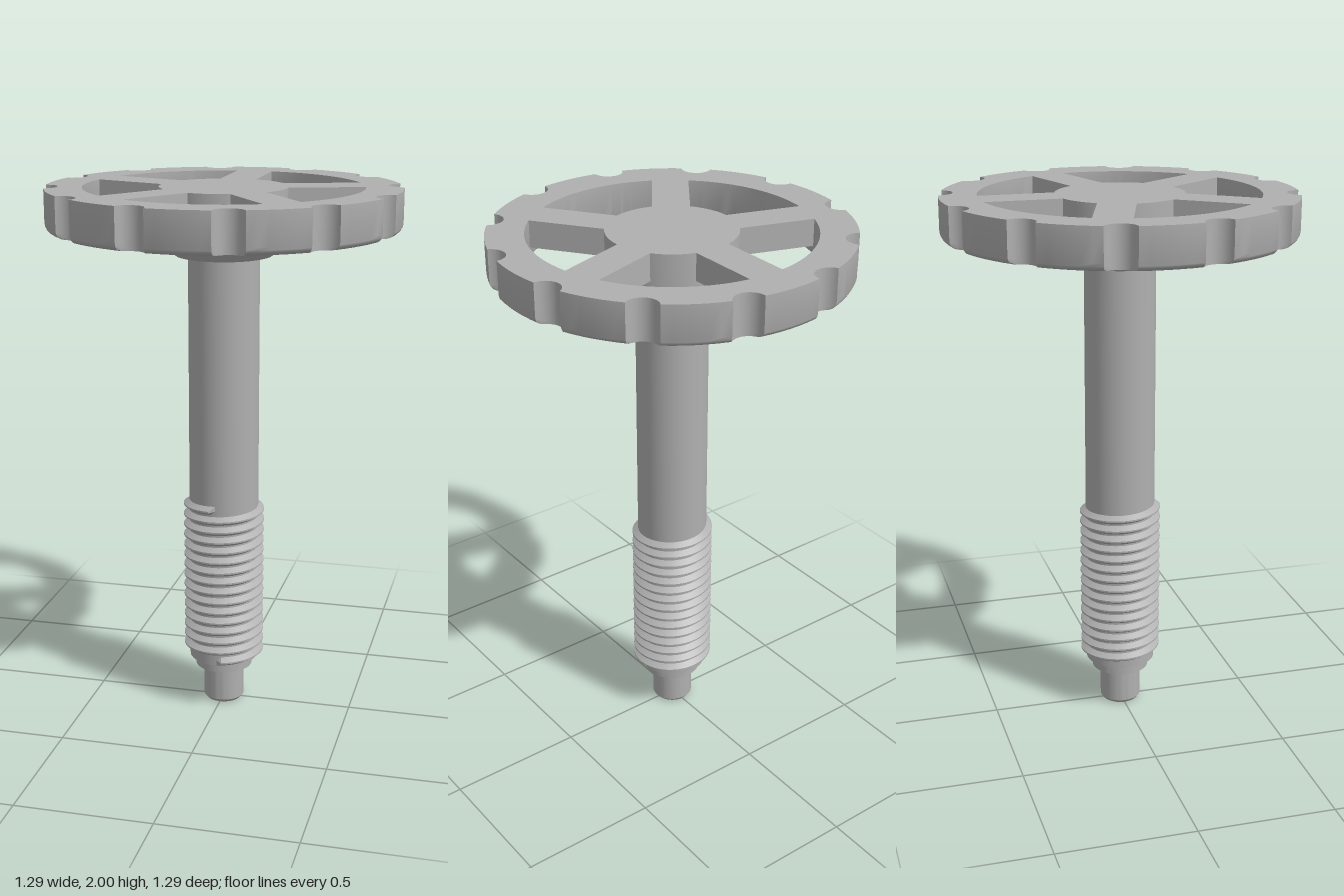
import * as THREE from 'three';
import { toCreasedNormals } from 'three/addons/utils/BufferGeometryUtils.js';

// Surface through rows of points; each row is one cross-section
function skin(rows, closeRows, closeProfile) {
  const n = rows[0].length, m = rows.length;
  const index = [];
  for (let i = 0; i < (closeRows ? m : m - 1); i++) {
    for (let j = 0; j < (closeProfile ? n : n - 1); j++) {
      const i2 = (i + 1) % m, j2 = (j + 1) % n;
      const a = i * n + j, b = i * n + j2, c = i2 * n + j2, d = i2 * n + j;
      index.push(a, b, d, b, c, d);
    }
  }
  const geo = new THREE.BufferGeometry();
  geo.setAttribute('position', new THREE.Float32BufferAttribute(rows.flat(2), 3));
  geo.setIndex(index);
  return toCreasedNormals(geo, 0.6);
}

const polar = (r, y, t) => [r * Math.sin(t), y, r * Math.cos(t)];

// Grip rim: rounded lower edges, twelve finger notches
function rimGeometry() {
  const inner = 0.507, outer = 0.643, top = 2, bottom = 1.85, f = 0.03, steps = 5;
  const profile = [[inner, top], [outer, top]];
  for (let k = 0; k <= steps; k++) {
    const a = (k / steps) * Math.PI / 2;
    profile.push([outer - f + f * Math.cos(a), bottom + f - f * Math.sin(a)]);
  }
  for (let k = 0; k <= steps; k++) {
    const a = (k / steps) * Math.PI / 2;
    profile.push([inner + f - f * Math.sin(a), bottom + f - f * Math.cos(a)]);
  }
  const centre = 0.65, radius = 0.056, half = Math.asin(radius / centre);
  const rows = [];
  for (let s = 0; s < 12; s++) {
    const mid = (s + 0.5) * Math.PI / 6;
    // across the notch, denser near its sides
    for (let k = 0; k <= 14; k++) {
      const d = -half * Math.cos((k / 14) * Math.PI);
      const reach = centre * Math.cos(d) -
        Math.sqrt(Math.max(0, radius ** 2 - (centre * Math.sin(d)) ** 2));
      rows.push(profile.map(([r, y]) => polar(Math.min(r, reach), y, mid + d)));
    }
    // plain stretch to the next notch
    const gap = Math.PI / 6 - 2 * half;
    for (let k = 1; k < 6; k++) {
      rows.push(profile.map(([r, y]) => polar(r, y, mid + half + gap * k / 6)));
    }
  }
  return skin(rows, true, true);
}

// Right-handed helical ridge
function threadGeometry() {
  const turns = 15, perTurn = 40, y0 = 0.2, y1 = 0.812, root = 0.128, crest = 0.153;
  const section = [[0, 0.019], [1, 0.003], [1, -0.003], [0, -0.019]];
  const count = turns * perTurn;
  const rows = [];
  for (let i = 0; i <= count; i++) {
    const height = i === 0 || i === count ? 0 : crest - root;
    const y = y0 + (y1 - y0) * i / count;
    const t = (i / perTurn) * Math.PI * 2;
    rows.push(section.map(([h, dy]) => polar(root + h * height, y + dy, t)));
  }
  return skin(rows, false, false);
}

function lathe(points) {
  const geo = new THREE.LatheGeometry(points.map(([r, y]) => new THREE.Vector2(r, y)), 64);
  return toCreasedNormals(geo, 0.5);
}

export function createModel() {
  const group = new THREE.Group();
  group.name = 'handwheelSpindle';
  const steel = new THREE.MeshStandardMaterial({ color: 0xb0b0b0 });
  steel.name = 'steelGrey';

  const add = (name, geometry, parent = group) => {
    const mesh = new THREE.Mesh(geometry, steel);
    mesh.name = name;
    parent.add(mesh);
    return mesh;
  };

  // Spindle: tip, collar, threaded core and plain shaft
  add('spindle', lathe([
    [0, 0], [0.068, 0], [0.077, 0.012], [0.077, 0.143], [0.108, 0.143],
    [0.108, 0.182], [0.131, 0.182], [0.131, 1.77],
  ]));
  add('thread', threadGeometry());

  // Wheel hub with a tapered underside
  add('hub', lathe([
    [0.12, 1.755], [0.178, 1.755], [0.234, 1.81], [0.234, 2], [0, 2],
  ]));

  // Wheel rim and five spokes, the first pointing back
  add('rim', rimGeometry());
  const spokeGeo = new THREE.BoxGeometry(0.136, 0.1, 0.3);
  spokeGeo.translate(0, 1.95, -0.36);
  const spokes = new THREE.Group();
  spokes.name = 'spokes';
  group.add(spokes);
  for (let i = 0; i < 5; i++) {
    add('spoke', spokeGeo, spokes).rotation.y = i * Math.PI * 2 / 5;
  }
  return group;
}
